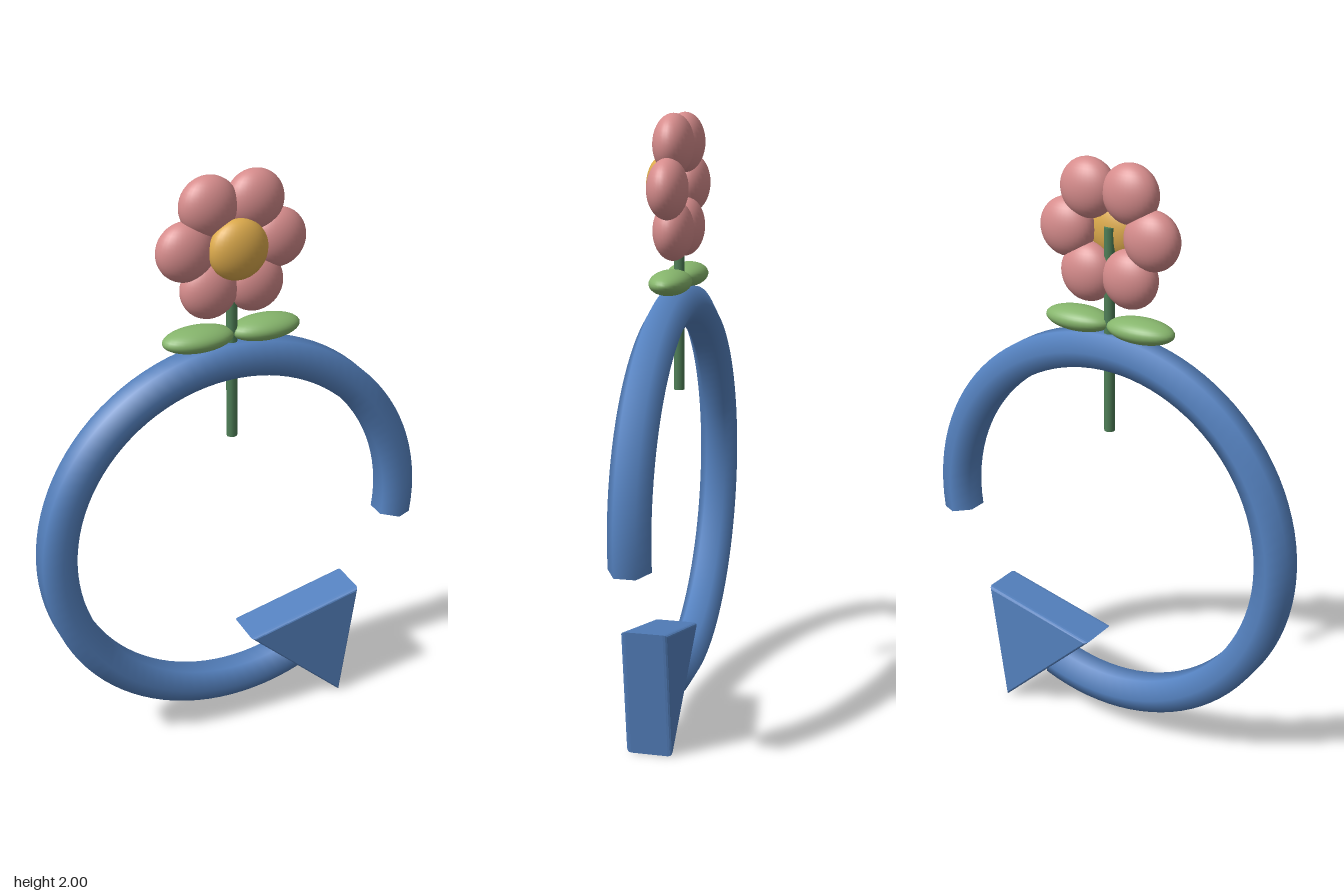
import * as THREE from 'three';

const mat = (name, color) => {
  const m = new THREE.MeshStandardMaterial({ color });
  m.name = name;
  return m;
};

export function createModel() {
  const blue = mat('blue', 0x5582c0);
  const pink = mat('pink', 0xd68c8c);
  const yellow = mat('yellow', 0xdcaa4c);
  const leafGreen = mat('leaf green', 0x86b56c);
  const stemGreen = mat('stem green', 0x4f7f57);

  const model = new THREE.Group();
  const Z = -0.016;      // shared depth plane
  const ringY = 0.765, ringR = 0.622, tubeR = 0.068;

  const add = (parent, name, geometry, material, x, y, z) => {
    const mesh = new THREE.Mesh(geometry, material);
    mesh.name = name;
    mesh.position.set(x, y, z);
    parent.add(mesh);
    return mesh;
  };
  const ellipsoid = (rx, ry, rz) => new THREE.SphereGeometry(1, 32, 20).scale(rx, ry, rz);

  // Open ring: hexagonal tube running over the top and round to the arrow
  const start = THREE.MathUtils.degToRad(-8), end = THREE.MathUtils.degToRad(291);
  class Arc extends THREE.Curve {
    getPoint(t, target = new THREE.Vector3()) {
      const a = start + (end - start) * t;
      return target.set(ringR * Math.cos(a), ringR * Math.sin(a), 0);
    }
  }
  add(model, 'ring', new THREE.TubeGeometry(new Arc(), 80, tubeR, 6, false), blue, 0, ringY, Z);

  // Flat caps on both tube ends
  for (const [name, a, s] of [['ringStartCap', start, 1], ['ringEndCap', end, -1]]) {
    const out = new THREE.Vector3(s * Math.sin(a), -s * Math.cos(a), 0);
    const side = new THREE.Vector3(0, 0, 1);
    const basis = new THREE.Matrix4().makeBasis(side, out.clone().cross(side), out);
    const cap = new THREE.CircleGeometry(tubeR, 6).applyMatrix4(basis);
    add(model, name, cap, blue, ringR * Math.cos(a), ringY + ringR * Math.sin(a), Z);
  }

  // Arrowhead: thick triangle with softened edges
  const triangle = new THREE.Shape([
    new THREE.Vector2(0.045, 0.327),
    new THREE.Vector2(0.397, 0),
    new THREE.Vector2(0.46, 0.427),
  ]);
  const arrow = new THREE.ExtrudeGeometry(triangle, {
    depth: 0.12, bevelEnabled: true, bevelThickness: 0.015, bevelSize: 0.01,
    bevelOffset: -0.01, bevelSegments: 3,
  });
  add(model, 'arrowhead', arrow, blue, 0, 0, Z - 0.06);

  // Flower: stem through the ring, two leaves, six petals and a domed centre
  const flower = new THREE.Group();
  flower.name = 'flower';
  model.add(flower);
  const flowerY = 1.77;

  add(flower, 'stem', new THREE.CylinderGeometry(0.018, 0.018, 0.68, 10), stemGreen, 0, 1.45, Z);
  for (const s of [-1, 1]) {
    add(flower, s > 0 ? 'leftLeaf' : 'rightLeaf', ellipsoid(0.12, 0.04, 0.065), leafGreen, s * 0.116, 1.475, Z);
  }
  for (let i = 0; i < 6; i++) {
    const a = i * Math.PI / 3;
    add(flower, `petal${i + 1}`, ellipsoid(0.096, 0.096, 0.064), pink,
      0.155 * Math.cos(a), flowerY + 0.155 * Math.sin(a), Z);
  }
  add(flower, 'flowerCentre', ellipsoid(0.098, 0.098, 0.055), yellow, 0, flowerY, 0.033);

  return model;
}
